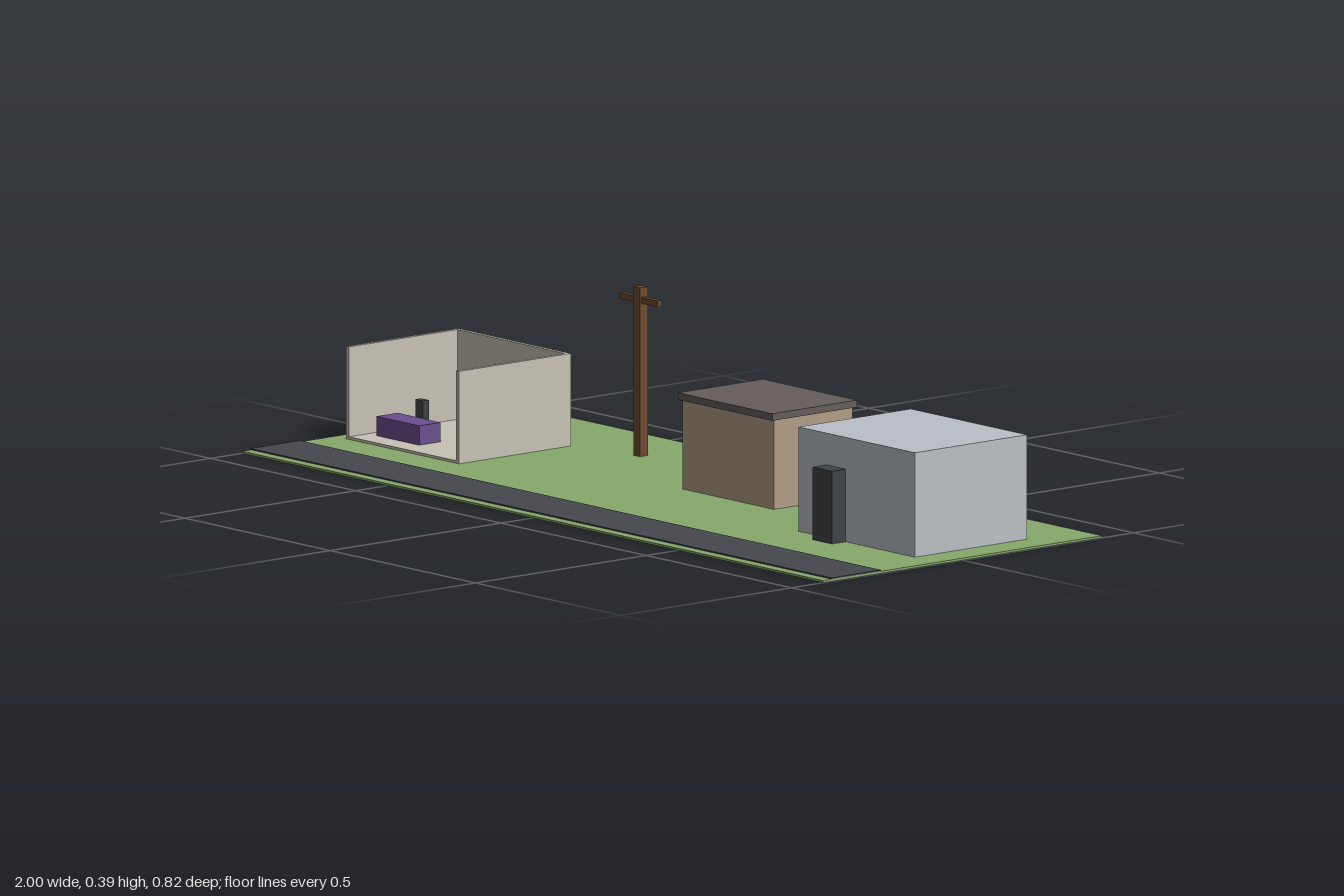
import * as THREE from 'three';

const material = (name, color) => {
  const m = new THREE.MeshStandardMaterial({ color });
  m.name = name;
  return m;
};

export function createModel() {
  const grass = material('grass green', 0x87a96b);
  const asphalt = material('asphalt', 0x45474d);
  const charcoal = material('charcoal', 0x3f4347);
  const plaster = material('plaster', 0xc8c2b5);
  const siding = material('pale grey siding', 0xb9c0c5);
  const tan = material('tan', 0xb09e86);
  const roofing = material('roofing', 0x655d5b);
  const wood = material('pole wood', 0x6e4c30);
  const purple = material('purple', 0x6b4f8f);

  const model = new THREE.Group();
  model.name = 'roadsideBlock';

  const group = (name) => {
    const g = new THREE.Group();
    g.name = name;
    model.add(g);
    return g;
  };
  // Box given by its extents along each axis
  const box = (parent, name, mat, [x0, x1], [y0, y1], [z0, z1]) => {
    const mesh = new THREE.Mesh(new THREE.BoxGeometry(x1 - x0, y1 - y0, z1 - z0), mat);
    mesh.position.set((x0 + x1) / 2, (y0 + y1) / 2, (z0 + z1) / 2);
    mesh.name = name;
    parent.add(mesh);
  };

  const G = 0.005; // ground level

  // Lawn and road
  box(model, 'lawn', grass, [-1, 1], [0, G], [-0.408, 0.408]);
  box(model, 'road', asphalt, [-1, 1], [G, 0.008], [0.238, 0.383]);

  // Open room: floor and three thin walls
  const room = group('openRoom');
  const [L, R, B, F, T, H] = [-0.96, -0.572, -0.19, 0.137, 0.01, 0.215];
  box(room, 'floor', plaster, [L, R], [G, 0.011], [B, F]);
  box(room, 'backWall', plaster, [L, R], [0.011, H], [B, B + T]);
  box(room, 'rightWall', plaster, [L, L + T], [0.011, H], [B + T, F]);
  box(room, 'leftWall', plaster, [R - T, R], [0.011, H], [B + T, F]);

  // Furniture
  box(room, 'counter', purple, [-0.921, -0.773], [0.011, 0.055], [0.02, 0.082]);
  box(room, 'stool', charcoal, [-0.863, -0.837], [0.011, 0.094], [0, 0.017]);
  box(room, 'cabinet', tan, [-0.74, -0.647], [0.011, 0.071], [-0.135, -0.09]);
  box(room, 'cabinetTop', tan, [-0.725, -0.661], [0.071, 0.08], [-0.129, -0.096]);
  box(room, 'cabinetPanel', siding, [-0.72, -0.667], [0.08, 0.082], [-0.126, -0.098]);

  // Utility pole
  const pole = group('utilityPole');
  box(pole, 'post', wood, [-0.398, -0.375], [G, 0.388], [-0.248, -0.225]);
  box(pole, 'crossArm', wood, [-0.452, -0.32], [0.352, 0.366], [-0.243, -0.23]);

  // Hut with an overhanging flat roof
  const hut = group('hut');
  box(hut, 'hutWalls', tan, [-0.024, 0.291], [G, 0.208], [-0.281, -0.051]);
  box(hut, 'hutRoof', roofing, [-0.029, 0.296], [0.208, 0.224], [-0.29, -0.042]);

  // Block building with a projecting doorway
  const building = group('blockBuilding');
  box(building, 'buildingWalls', siding, [0.523, 0.923], [G, 0.242], [-0.254, 0.074]);
  box(building, 'doorway', charcoal, [0.618, 0.685], [G, 0.17], [0.074, 0.114]);

  return model;
}
